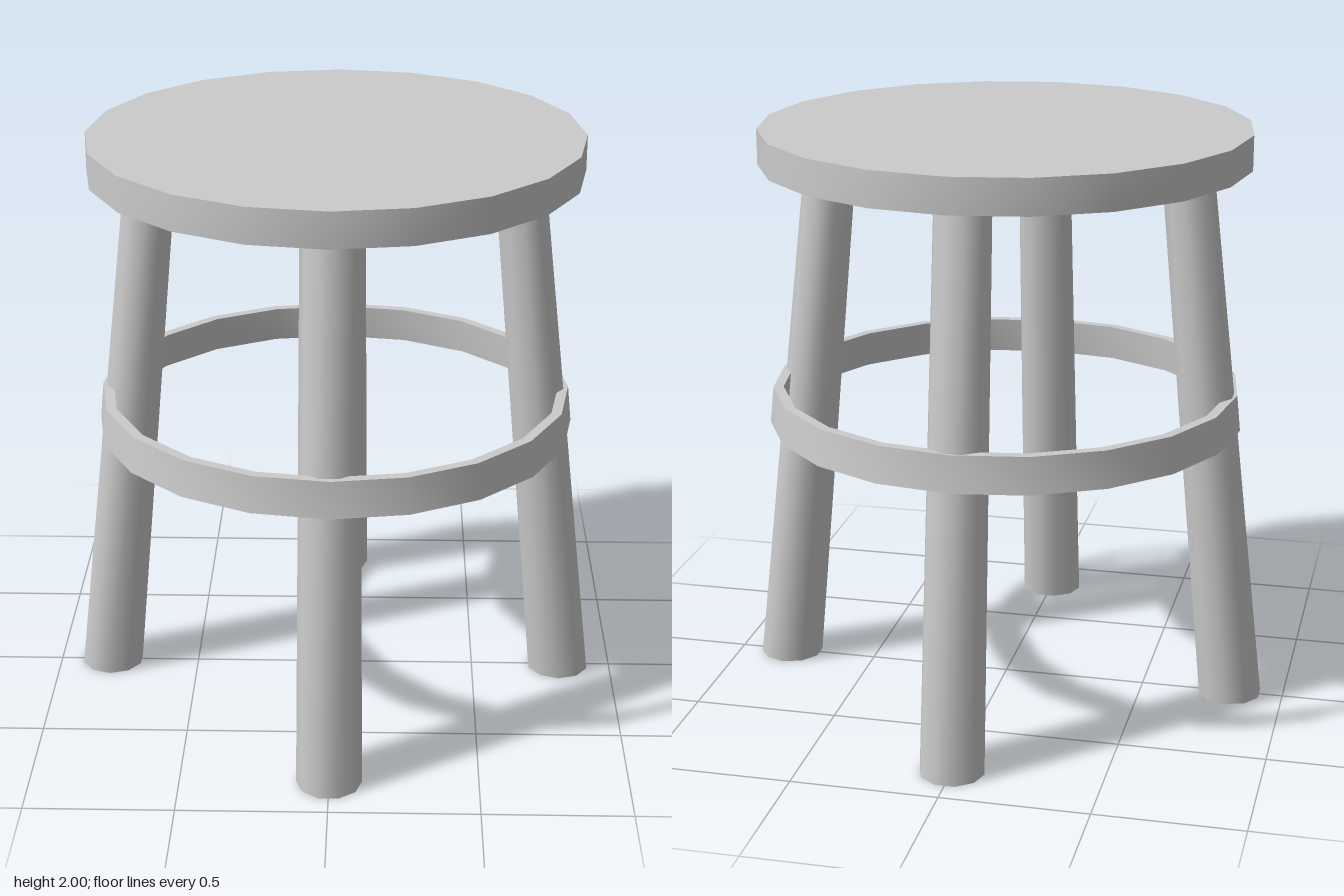
import * as THREE from 'three';
import { toCreasedNormals } from 'three/addons/utils/BufferGeometryUtils.js';

const material = new THREE.MeshStandardMaterial({ color: 0xcccccc });

function part(name, geometry, crease) {
  const mesh = new THREE.Mesh(toCreasedNormals(geometry, crease), material);
  mesh.name = name;
  return mesh;
}

// Tapered ten-sided leg, sheared outward along +x so both ends stay level
function legGeometry(height, footX, topX) {
  const g = new THREE.CylinderGeometry(0.095, 0.11, height, 10);
  g.translate(0, height / 2, 0);
  const p = g.attributes.position;
  for (let i = 0; i < p.count; i++) {
    const t = p.getY(i) / height;
    const squash = 1 - 0.07 * t;
    p.setX(i, p.getX(i) * squash + footX + (topX - footX) * t);
  }
  return g;
}

export function createModel() {
  const stool = new THREE.Group();
  stool.name = 'stool';

  // Round seat
  const seat = part('seat', new THREE.CylinderGeometry(0.835, 0.835, 0.12, 20), 0.6);
  seat.position.set(0.003, 1.94, 0.006);
  stool.add(seat);

  // Four splayed legs
  for (let i = 0; i < 4; i++) {
    const leg = part('leg' + (i + 1), legGeometry(1.88, 0.813, 0.617), 0.8);
    leg.rotation.y = i * Math.PI / 2;
    stool.add(leg);
  }

  // Slightly conical foot ring: bottom outer, top outer, top inner, bottom inner
  const profile = [[0.82, 0.975], [0.807, 1.1], [0.772, 1.1], [0.785, 0.975], [0.82, 0.975]]
    .map(([x, y]) => new THREE.Vector2(x, y));
  const ring = part('footRing', new THREE.LatheGeometry(profile, 20), 0.6);
  ring.position.set(0.002, 0, 0.006);
  stool.add(ring);

  return stool;
}
